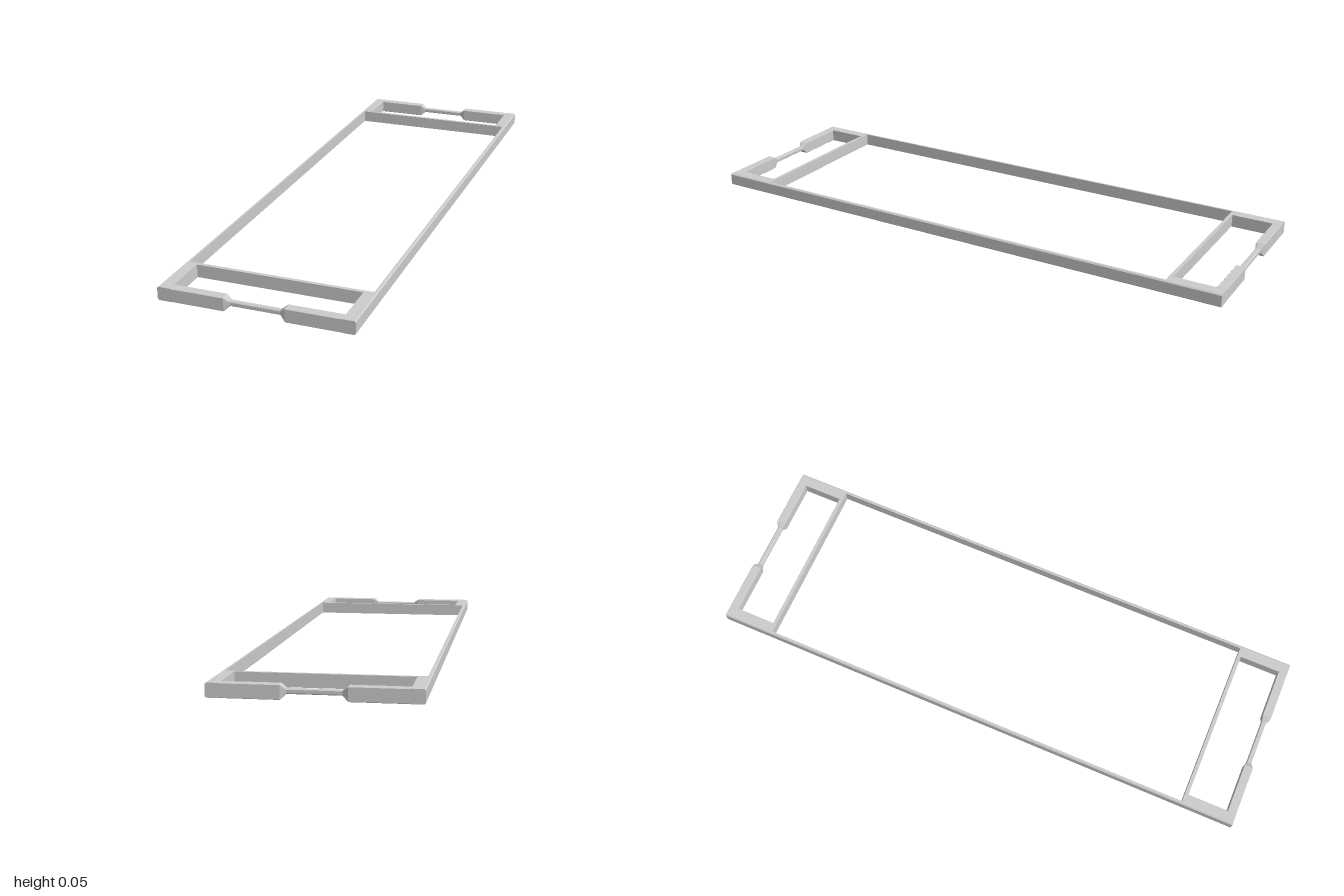
import * as THREE from 'three';

const H = 0.045;      // frame height
const W = 0.322;      // half width
const mat = new THREE.MeshStandardMaterial({ color: 0xcccccc, flatShading: true });

function add(parent, geometry, name) {
  const m = new THREE.Mesh(geometry, mat);
  m.name = name;
  parent.add(m);
  return m;
}

// Side bar running along z, with its outer long edges chamfered
function sideBar(side, inner, z0, z1) {
  const c = 0.004;
  const s = new THREE.Shape([
    [inner, 0], [W - c, 0], [W, c], [W, H - c], [W - c, H], [inner, H],
  ].map(([x, y]) => new THREE.Vector2(side * x, y)));
  const g = new THREE.ExtrudeGeometry(s, { depth: z1 - z0, bevelEnabled: false });
  return g.translate(0, 0, z0);
}

// Loft of eight-sided sections [x, y0, y1, z0, z1, chamfer] along x
function loft(sections) {
  const pos = [], idx = [], n = 8;
  for (const [x, y0, y1, z0, z1, c] of sections) {
    const ring = [
      [y0, z0 + c], [y0, z1 - c], [y0 + c, z1], [y1 - c, z1],
      [y1, z1 - c], [y1, z0 + c], [y1 - c, z0], [y0 + c, z0],
    ];
    for (const [y, z] of ring) pos.push(x, y, z);
  }
  for (let s = 0; s < sections.length - 1; s++) {
    for (let i = 0; i < n; i++) {
      const a = s * n + i, b = s * n + (i + 1) % n;
      idx.push(a, a + n, b, b, a + n, b + n);
    }
  }
  const g = new THREE.BufferGeometry();
  g.setAttribute('position', new THREE.Float32BufferAttribute(pos, 3));
  g.setIndex(idx);
  // Wind every face outward
  const flat = g.toNonIndexed();
  const p = flat.attributes.position;
  const a = new THREE.Vector3(), b = new THREE.Vector3(), c = new THREE.Vector3();
  for (let i = 0; i < p.count; i += 3) {
    a.fromBufferAttribute(p, i); b.fromBufferAttribute(p, i + 1); c.fromBufferAttribute(p, i + 2);
    const mid = new THREE.Vector3().add(a).add(b).add(c).divideScalar(3);
    const out = new THREE.Vector3(0, mid.y - H / 2, mid.z - (sections[0][3] + sections[0][4]) / 2);
    const nrm = b.clone().sub(a).cross(c.clone().sub(a));
    if (nrm.dot(out) < 0) {
      p.setXYZ(i + 1, c.x, c.y, c.z);
      p.setXYZ(i + 2, b.x, b.y, b.z);
    }
  }
  flat.computeVertexNormals();
  return flat;
}

export function createModel() {
  const group = new THREE.Group();
  group.name = 'frame';

  // Long thin rails
  for (const side of [-1, 1]) {
    add(group, sideBar(side, 0.311, -0.82, 0.82), side > 0 ? 'leftRail' : 'rightRail');
  }

  // Matching handle ends, front and back
  for (const end of [1, -1]) {
    const handle = new THREE.Group();
    handle.name = end > 0 ? 'frontHandle' : 'backHandle';
    group.add(handle);

    for (const side of [-1, 1]) {
      add(handle, sideBar(side, 0.28, 0.82, 1), 'handleSide');
    }

    // End bar narrowing to a slim grip at the middle
    const wide = [0, H, 0.968, 1, 0.0015], slim = [0.016, 0.032, 0.973, 0.991, 0.003];
    add(handle, loft([
      [-0.281, ...wide], [-0.1, ...wide], [-0.082, ...slim],
      [0.082, ...slim], [0.1, ...wide], [0.281, ...wide],
    ]), 'gripBar');

    // Thin crossbar between the rails
    add(handle, new THREE.BoxGeometry(0.622, H - 0.001, 0.013), 'crossbar')
      .position.set(0, H / 2, 0.8155);

    if (end < 0) handle.rotation.y = Math.PI;
  }
  return group;
}
